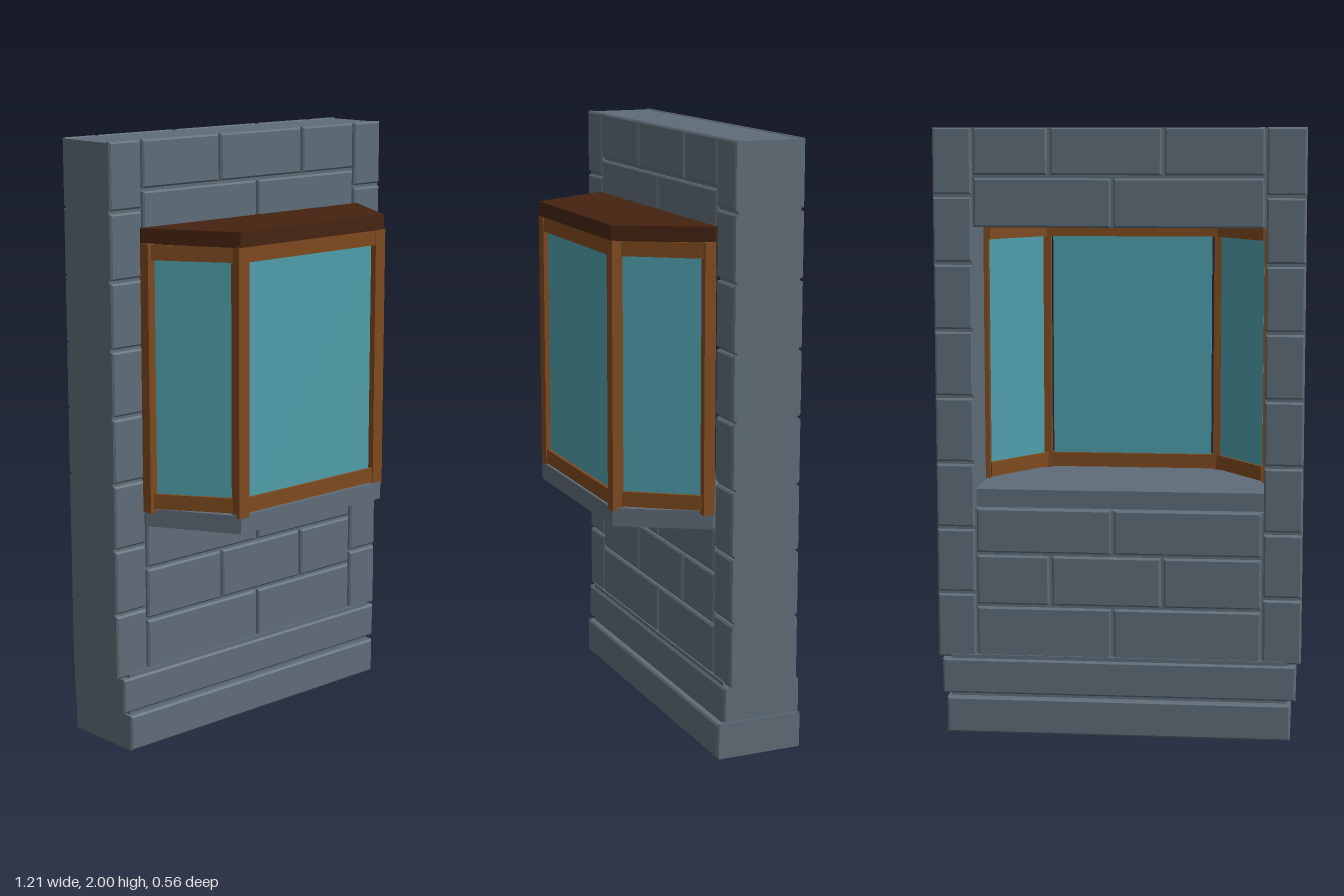
import * as THREE from 'three';

const material = (name, color) => {
  const m = new THREE.MeshStandardMaterial({ color });
  m.name = name;
  return m;
};

export function createModel() {
  const model = new THREE.Group();
  model.name = 'bayWindowWall';
  const stone = material('slate stone', 0x5f6d78);
  const wood = material('frame wood', 0x7f4a1f);
  const roofWood = material('dark roof wood', 0x452310);
  const glass = material('teal glass', 0x4f9fab);

  const add = (name, geometry, mat) => {
    const mesh = new THREE.Mesh(geometry, mat);
    mesh.name = name;
    model.add(mesh);
    return mesh;
  };

  // Plain box given by its limits
  const box = (name, mat, x0, x1, y0, y1, z0, z1) => {
    const g = new THREE.BoxGeometry(x1 - x0, y1 - y0, z1 - z0);
    g.translate((x0 + x1) / 2, (y0 + y1) / 2, (z0 + z1) / 2);
    return add(name, g, mat);
  };

  // Stone block with chamfered front and back edges
  const block = (name, x0, x1, y0, y1, z0, z1, b = 0.006) => {
    const s = new THREE.Shape();
    s.moveTo(x0 + b, y0 + b);
    s.lineTo(x1 - b, y0 + b);
    s.lineTo(x1 - b, y1 - b);
    s.lineTo(x0 + b, y1 - b);
    const g = new THREE.ExtrudeGeometry(s, {
      depth: z1 - z0 - 2 * b, bevelEnabled: true, bevelSize: b, bevelThickness: b, bevelSegments: 1,
    });
    g.translate(0, 0, z0 + b);
    return add(name, g, stone);
  };

  // Facing stones on both faces of the wall
  const facing = (name, x0, x1, y0, y1) => {
    block(name + 'Front', x0, x1, y0, y1, -0.03, -0.01);
    block(name + 'Back', x0, x1, y0, y1, -0.25, -0.23);
  };

  // Horizontal slab from a plan outline of [x, z] points
  const slab = (name, mat, points, y0, y1) => {
    const s = new THREE.Shape(points.map(([x, z]) => new THREE.Vector2(x, z)));
    const g = new THREE.ExtrudeGeometry(s, { depth: y1 - y0, bevelEnabled: false });
    g.rotateX(Math.PI / 2);
    g.translate(0, y1, 0);
    return add(name, g, mat);
  };

  // Stepped base courses
  block('lowerBaseCourse', -0.57, 0.57, 0, 0.12, -0.283, 0.017);
  block('upperBaseCourse', -0.587, 0.587, 0.13, 0.247, -0.267, 0.003);
  box('baseCore', stone, -0.56, 0.56, 0.1, 0.26, -0.255, -0.005);

  // Side piers with corner stones
  const rows = 8, rowHeight = 1.75 / rows;
  for (const side of [-1, 1]) {
    const a = side < 0 ? -0.603 : 0.477;
    const b = a + 0.126;
    box('pierCore', stone, a, b, 0.25, 1.997, -0.237, -0.023);
    for (let i = 0; i < rows; i++) {
      const y = 0.25 + i * rowHeight;
      facing('cornerStone', a, b, y + (i ? 0.005 : 0), y + rowHeight - (i < rows - 1 ? 0.005 : 0));
    }
  }

  // Wall panels below and above the opening
  box('lowerWallCore', stone, -0.478, 0.478, 0.25, 0.752, -0.237, -0.023);
  box('lintelCore', stone, -0.478, 0.478, 1.68, 1.997, -0.237, -0.023);
  const courses = [
    [0.253, 0.422, [0.02]],
    [0.432, 0.597, [-0.145, 0.225]],
    [0.607, 0.755, [0.02]],
    [1.68, 1.838, [0.02]],
    [1.848, 2, [-0.145, 0.225]],
  ];
  for (const [y0, y1, joints] of courses) {
    const cuts = [-0.475, ...joints, 0.475];
    for (let i = 0; i < cuts.length - 1; i++) {
      facing('wallStone', cuts[i] + 0.005, cuts[i + 1] - 0.005, y0, y1);
    }
  }

  // Stone sill running through the wall into the bay, and the flat bay roof
  const bay = [[0.485, 0], [0.323, 0.28], [-0.323, 0.28], [-0.485, 0]];
  slab('sill', stone, [[0.477, -0.21], [0.477, 0], ...bay, [-0.477, 0], [-0.477, -0.21]], 0.753, 0.813);
  slab('roof', roofWood, [[0.485, -0.022], ...bay, [-0.485, -0.022]], 1.676, 1.725);

  // Front window of the bay
  box('frontTopRail', wood, -0.3, 0.3, 1.627, 1.676, 0.247, 0.277);
  box('frontBottomRail', wood, -0.3, 0.3, 0.817, 0.866, 0.247, 0.277);
  box('frontGlass', glass, -0.277, 0.277, 0.866, 1.627, 0.258, 0.266);

  // Posts and slanted side windows
  for (const side of [-1, 1]) {
    const post = (name, x, z, w, d) =>
      box(name, wood, side * x - w / 2, side * x + w / 2, 0.803, 1.678, z - d / 2, z + d / 2);
    post('cornerPost', 0.307, 0.262, 0.044, 0.036);
    post('wallPost', 0.478, 0.016, 0.028, 0.038);

    const x0 = 0.307, z0 = 0.255, x1 = 0.472, z1 = 0.018;
    const length = Math.hypot(x1 - x0, z1 - z0);
    const panel = (name, mat, len, y0, y1, thickness) => {
      const mesh = add(name, new THREE.BoxGeometry(len, y1 - y0, thickness), mat);
      mesh.position.set(side * (x0 + x1) / 2, (y0 + y1) / 2, (z0 + z1) / 2);
      mesh.rotation.y = side * Math.atan2(z0 - z1, x1 - x0);
    };
    panel('sideTopRail', wood, length, 1.627, 1.676, 0.03);
    panel('sideBottomRail', wood, length, 0.817, 0.866, 0.03);
    panel('sideGlass', glass, length - 0.02, 0.866, 1.627, 0.008);
  }

  return model;
}
